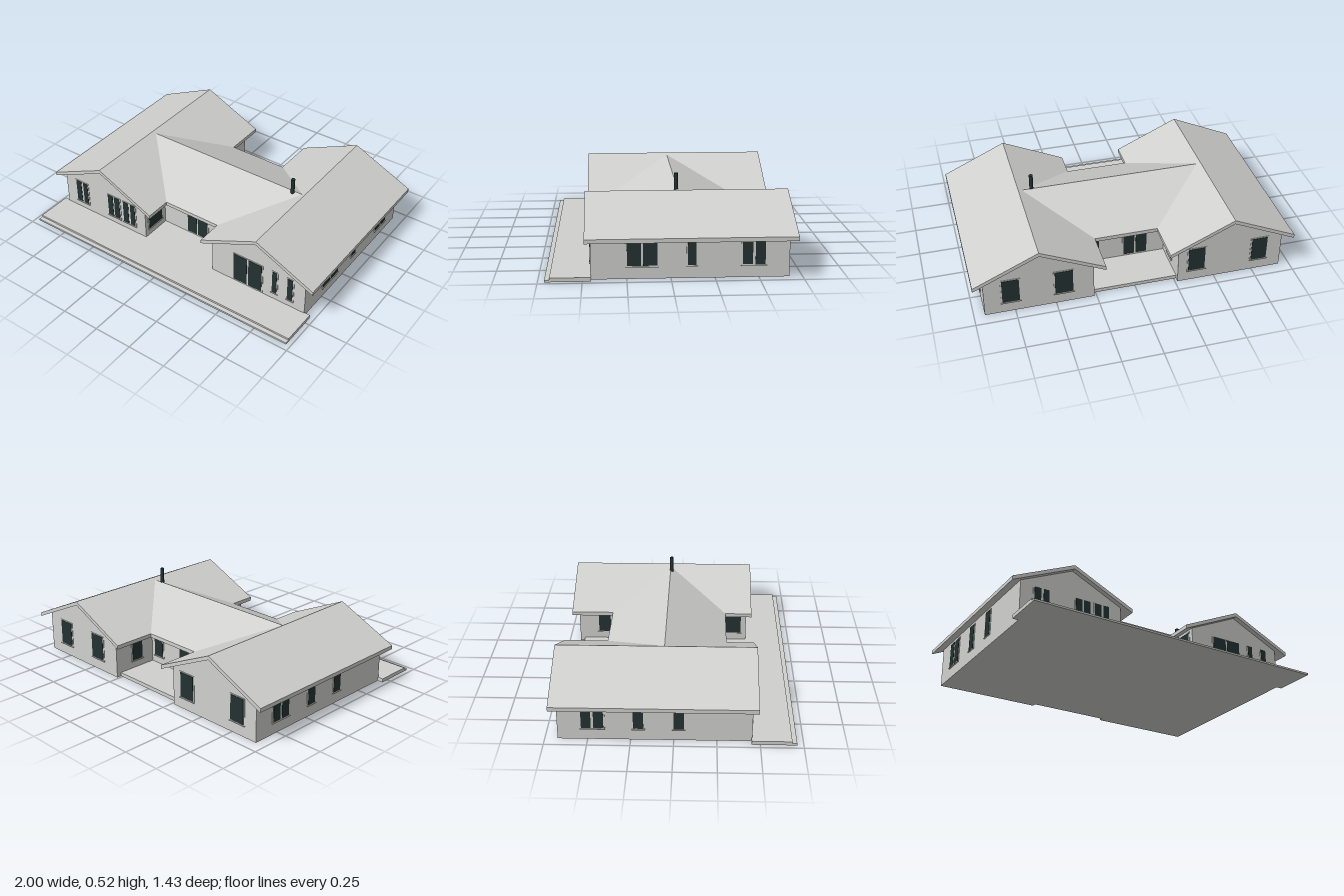
import * as THREE from 'three';

export function createModel() {
  const house = new THREE.Group();
  house.name = 'house';

  const plaster = new THREE.MeshStandardMaterial({ color: 0xd0d0ce });
  plaster.name = 'light grey';
  const glass = new THREE.MeshStandardMaterial({ color: 0x243232 });
  glass.name = 'dark glass';

  const add = (parent, name, geometry, material) => {
    const mesh = new THREE.Mesh(geometry, material);
    mesh.name = name;
    parent.add(mesh);
    return mesh;
  };

  // box given by its limits on each axis
  const block = (parent, name, material, [x0, x1], [y0, y1], [z0, z1]) =>
    add(parent, name, new THREE.BoxGeometry(x1 - x0, y1 - y0, z1 - z0), material)
      .position.set((x0 + x1) / 2, (y0 + y1) / 2, (z0 + z1) / 2);

  // profile in x and y, extruded from z0 to z1
  const prism = (name, points, z0, z1) => {
    const shape = new THREE.Shape(points.map(([x, y]) => new THREE.Vector2(x, y)));
    const geometry = new THREE.ExtrudeGeometry(shape, { depth: z1 - z0, bevelEnabled: false });
    geometry.translate(0, 0, z0);
    return add(house, name, geometry, plaster);
  };

  const EAVE = 0.225, THICK = 0.025, SLOPE = 0.4625;
  const roof = (name, half, z0, z1) => {
    const rise = half * SLOPE;
    return prism(name, [
      [-half, EAVE], [0, EAVE + rise], [half, EAVE],
      [half, EAVE + THICK], [0, EAVE + THICK + rise], [-half, EAVE + THICK],
    ], z0, z1);
  };

  // two gabled wings
  const wallHalf = 0.335;
  const wallTop = EAVE + (0.4 - wallHalf) * SLOPE + 0.003;
  for (const side of [-1, 1]) {
    const label = side > 0 ? 'left' : 'right';
    prism(label + 'WingWalls', [
      [-wallHalf, 0], [wallHalf, 0], [wallHalf, wallTop],
      [0, EAVE + 0.4 * SLOPE + 0.003], [-wallHalf, wallTop],
    ], -0.675, 0.455).position.x = side * 0.6;
    roof(label + 'WingRoof', 0.4, -0.715, 0.487).position.x = side * 0.6;
  }

  // middle hall, its roof running into the wings
  block(house, 'hallWalls', plaster, [-0.3, 0.3], [0, 0.252], [-0.375, 0.25]);
  const hallRoof = roof('hallRoof', 0.377, -0.573, 0.573);
  hallRoof.rotation.y = Math.PI / 2;
  hallRoof.position.z = -0.064;

  // terraces and step
  block(house, 'frontTerrace', plaster, [-0.972, 0.972], [0, 0.024], [0.45, 0.684]);
  block(house, 'terraceStep', plaster, [-0.972, 0.972], [0, 0.012], [0.68, 0.712]);
  block(house, 'entranceFloor', plaster, [-0.27, 0.27], [0, 0.024], [0.24, 0.46]);
  block(house, 'backTerrace', plaster, [-0.27, 0.27], [0, 0.024], [-0.645, -0.37]);

  // chimney pipe
  add(house, 'chimney', new THREE.CylinderGeometry(0.0125, 0.0125, 0.12, 20), glass)
    .position.set(0.513, 0.46, -0.055);

  // window units: each is a list of panes sharing one frame, and a sill unless it is a door
  const LOW = 0.077, DOOR = 0.036, HIGH = 0.236;
  const wall = (name, x, z, angle, units) => {
    const face = new THREE.Group();
    face.name = name;
    face.position.set(x, 0, z);
    face.rotation.y = angle;
    house.add(face);
    for (const { panes, door } of units) {
      const bottom = door ? DOOR : LOW;
      const left = panes[0][0], right = panes[panes.length - 1][1];
      block(face, 'windowFrame', plaster, [left - 0.008, right + 0.008],
        [bottom - 0.006, HIGH + 0.005], [-0.002, 0.003]);
      for (const pane of panes) block(face, 'pane', glass, pane, [bottom, HIGH], [0, 0.005]);
      if (!door) {
        block(face, 'sill', plaster, [left - 0.009, right + 0.009], [0.068, 0.072], [-0.002, 0.008]);
      }
    }
  };
  const win = (...panes) => ({ panes });
  const door = (...panes) => ({ panes, door: true });

  // front
  wall('frontWindows', 0, 0.455, 0, [
    win([-0.845, -0.802], [-0.786, -0.749]),
    win([-0.572, -0.53], [-0.519, -0.476]),
    win([-0.444, -0.401], [-0.385, -0.348]),
    door([0.428, 0.524], [0.535, 0.631]),
    win([0.706, 0.738]),
    win([0.813, 0.85]),
  ]);
  wall('entranceDoors', 0, 0.25, 0, [door([-0.076, -0.004], [0.006, 0.08])]);

  // back (local x runs toward -x)
  wall('backWindows', 0, -0.675, Math.PI, [
    win([-0.825, -0.72]), win([-0.505, -0.395]),
    win([0.33, 0.435]), win([0.74, 0.84]),
  ]);
  wall('backHallOpenings', 0, -0.375, Math.PI, [win([-0.235, -0.16]), door([0, 0.07], [0.08, 0.15])]);

  // outer sides (local x runs toward -z on the left, +z on the right)
  wall('leftSideWindows', 0.935, 0, Math.PI / 2, [
    win([-0.249, -0.169], [-0.157, -0.077]),
    win([0.096, 0.142]),
    win([0.406, 0.464], [0.479, 0.536]),
  ]);
  wall('rightSideWindows', -0.935, 0, -Math.PI / 2, [
    win([-0.536, -0.479], [-0.464, -0.406]),
    win([-0.235, -0.175]),
    win([0, 0.06]),
  ]);

  // inner sides of the wings
  wall('rightWingInnerWindows', -0.265, 0, Math.PI / 2, [win([-0.42, -0.29]), win([0.465, 0.545])]);
  wall('leftWingInnerWindows', 0.265, 0, -Math.PI / 2, [win([0.29, 0.42]), win([-0.545, -0.465])]);

  return house;
}
